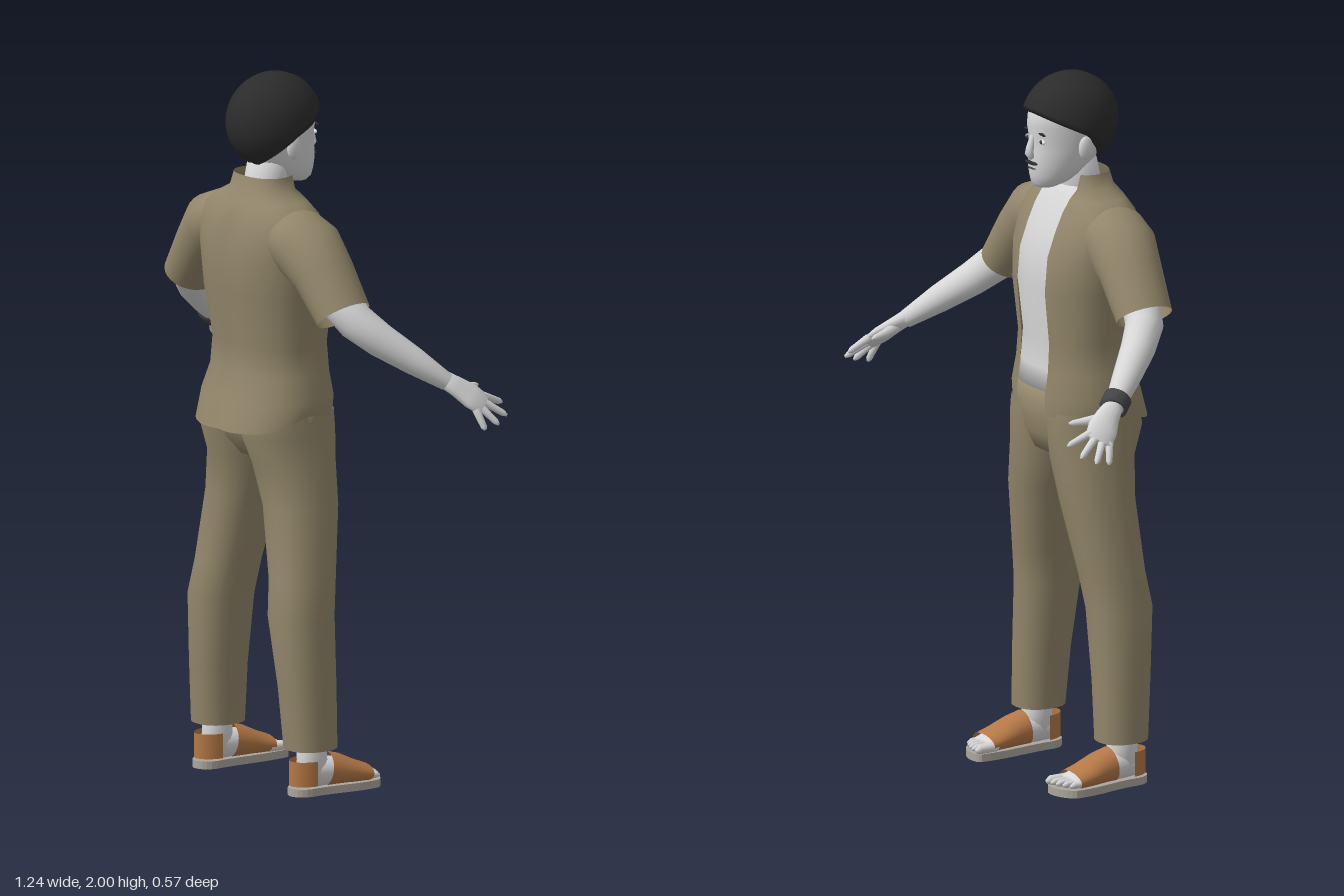
import * as THREE from 'three';

const mat = (name, color, side = THREE.FrontSide) => {
  const m = new THREE.MeshStandardMaterial({ color, side });
  m.name = name;
  return m;
};
const V = (x, y, z) => new THREE.Vector3(x, y, z);

// Skin a list of rings (each an array of Vector3, counterclockwise about the path)
function skin(rings, closed = true) {
  const n = rings[0].length, index = [];
  for (let i = 0; i < rings.length - 1; i++) {
    for (let j = 0; j < (closed ? n : n - 1); j++) {
      const k = (j + 1) % n, a = i * n + j, b = i * n + k;
      index.push(a, b, b + n, a, b + n, a + n);
    }
  }
  const g = new THREE.BufferGeometry().setFromPoints(rings.flat());
  g.setIndex(index);
  g.computeVertexNormals();
  return g;
}

// One elliptical ring; angle 0 points along u
function ring(c, u, v, ru, rv, n, from = 0, to = Math.PI * 2, power = 2) {
  const closed = to - from > 6.28, e = 2 / power;
  const f = (t) => Math.sign(t) * Math.pow(Math.abs(t), e);
  return Array.from({ length: n }, (_, j) => {
    const a = from + ((to - from) * j) / (closed ? n : n - 1);
    return c.clone().addScaledVector(u, ru * f(Math.cos(a))).addScaledVector(v, rv * f(Math.sin(a)));
  });
}

// Upright body from rows [y, xMin, xMax, zBack, zFront]; gap leaves the front (-z) open
function upright(rows, { n = 32, gap = 0, power = 2, caps = false, inset = 0 } = {}) {
  const rings = rows.map(([y, x0, x1, zb, zf]) => {
    const rx = (x1 - x0) / 2 - inset, rz = (zb - zf) / 2 - inset;
    const end = gap ? Math.PI - Math.asin(Math.pow(gap / rx, power / 2)) : Math.PI;
    return ring(V((x0 + x1) / 2, y, (zb + zf) / 2), V(0, 0, 1), V(1, 0, 0), rz, rx, n, -end, end, power);
  });
  return skin(caps ? cap(rings) : rings, !gap);
}

function cap(rings) {
  const close = (r) => {
    const m = r.reduce((s, p) => s.add(p), V(0, 0, 0)).divideScalar(r.length);
    return r.map((p) => p.clone().lerp(m, 0.999));
  };
  return [close(rings[0]), ...rings, close(rings[rings.length - 1])];
}

// Limb from stations [x, y, z, radiusU, radiusV]; s mirrors it in x
function limb(st, { s = 1, hint = V(0, 1, 0), n = 16, caps = true } = {}) {
  const p = st.map(([x, y, z]) => V(x * s, y, z));
  const h = hint.clone().setX(hint.x * s);
  const rings = st.map(([, , , ru, rv = ru], i) => {
    const d = p[Math.min(i + 1, p.length - 1)].clone().sub(p[Math.max(i - 1, 0)]).normalize();
    const u = h.clone().cross(d).normalize();
    return ring(p[i], u, d.clone().cross(u), ru, rv, n);
  });
  return skin(caps ? cap(rings) : rings);
}

export function createModel() {
  const model = new THREE.Group();
  const cloth = mat('khaki cloth', 0x92866a, THREE.DoubleSide);
  const body = mat('pale skin', 0xd6d6d6);
  const hairMat = mat('black hair', 0x2b2b2b, THREE.DoubleSide);
  const leather = mat('tan leather', 0xb57845, THREE.DoubleSide);
  const band = mat('dark band', 0x444446, THREE.DoubleSide);
  const soleMat = mat('grey sole', 0xaaa69c);
  const white = mat('eye white', 0xf0f0f0);
  const add = (name, geo, m, parent = model) => {
    const mesh = new THREE.Mesh(geo, m);
    mesh.name = name;
    parent.add(mesh);
    return mesh;
  };
  const ball = (name, m, x, y, z, rx, ry, rz) => {
    const b = add(name, new THREE.SphereGeometry(1, 16, 12), m);
    b.position.set(x, y, z);
    b.scale.set(rx, ry, rz);
    return b;
  };

  // Torso and open shirt
  const shirtRows = [
    [1.03, .2, .28, -.055], [1.1, .203, .255, -.055], [1.17, .185, .23, -.045], [1.25, .175, .227, -.042],
    [1.4, .198, .25, -.055], [1.5, .212, .252, -.045], [1.57, .22, .245, -.018], [1.62, .2, .228, .005],
    [1.655, .15, .21, .025], [1.68, .1, .195, .04], [1.72, .092, .182, .05],
  ].map(([y, rx, zb, zf]) => [y, -rx, rx, zb, zf]);
  const shirt = upright(shirtRows, { n: 49, gap: .07, power: 2.3 });
  const sp = shirt.attributes.position;
  for (let i = 0; i < 49; i++) {
    // hem: low at the back, raised at the side slits
    const a = Math.atan2(sp.getX(i) / .2, (sp.getZ(i) - .11) / .17);
    sp.setY(i, 1.033 - .018 * Math.cos(a) + .03 * Math.abs(Math.sin(a)) ** 10);
  }
  // shallow furrow down the spine
  for (let i = 0; i < sp.count; i++) {
    if (sp.getZ(i) > .15 && sp.getY(i) < 1.6) sp.setZ(i, sp.getZ(i) - .012 * Math.exp(-((sp.getX(i) / .03) ** 2)));
  }
  shirt.computeVertexNormals();
  add('shirt', shirt, cloth);
  add('torso', upright(shirtRows.slice(1, 10), { inset: .013, power: 2.3, caps: true }), body);

  // Trousers
  add('trouserSeat', upright([[.93, -.13, .13, .175, -.015], [.98, -.175, .175, .215, -.035],
    [1.03, -.187, .187, .235, -.042], [1.11, -.18, .18, .225, -.044]], { caps: true, power: 2.3 }), cloth);
  const legRows = [
    [.13, .142, .278, .185, .038], [.3, .13, .273, .198, .035], [.5, .1, .264, .215, .03], [.6, .085, .25, .2, .015],
    [.8, .038, .222, .19, -.02], [.92, .002, .2, .205, -.032], [1, -.004, .19, .238, -.04], [1.06, -.004, .184, .23, -.038],
  ];

  // Neck and head
  add('neck', limb([[0, 1.6, .125, .068], [0, 1.69, .11, .058], [0, 1.77, .09, .06]], { hint: V(0, 0, 1), n: 24 }), body);
  add('head', upright([
    [1.686, .028, .03, -.03], [1.698, .045, .07, -.042], [1.72, .06, .11, -.046], [1.75, .071, .15, -.05],
    [1.79, .08, .175, -.046], [1.825, .084, .188, -.044], [1.86, .088, .195, -.05], [1.9, .086, .19, -.046], [1.94, .07, .17, -.02],
  ].map(([y, rx, zb, zf]) => [y, -rx, rx, zb, zf]), { n: 36, caps: true }), body);
  add('nose', limb([[0, 1.835, -.043, .007], [0, 1.8, -.052, .011], [0, 1.785, -.055, .015, .011], [0, 1.772, -.046, .01]],
    { hint: V(0, 0, 1) }), body);
  ball('moustache', hairMat, 0, 1.757, -.048, .03, .005, .009);
  ball('mouth', band, 0, 1.742, -.047, .02, .003, .006);

  // Hair: a dome whose rim is high over the brow and low at the nape
  const hairRings = [];
  for (let i = -1; i <= 14; i++) {
    hairRings.push(Array.from({ length: 48 }, (_, j) => {
      const a = (j / 48) * Math.PI * 2, c = Math.cos(a);
      const phi = (1.78 + (c > 0 ? .85 : .52) * c) * (1 - Math.max(i, 0) / 14) + .001;
      const r = Math.sin(phi) * (i < 0 ? .72 : 1);
      const part = 1 - .03 * Math.exp(-((Math.sin(a) * r / .06) ** 2));
      return V(.116 * r * Math.sin(a), 1.864 + .136 * Math.cos(phi) * part, .079 + .142 * r * c);
    }));
  }
  add('hair', skin(hairRings), hairMat);

  for (const s of [1, -1]) {
    const side = s > 0 ? 'left' : 'right';
    add(side + 'TrouserLeg', upright(legRows.map(([y, a, b, zb, zf]) =>
      [y, Math.min(a * s, b * s), Math.max(a * s, b * s), zb, zf]), { n: 28, power: 2.3 }), cloth);

    // Face details
    ball(side + 'Ear', body, s * .087, 1.8, .075, .012, .034, .022);
    ball(side + 'Eye', white, s * .034, 1.822, -.034, .015, .007, .005);
    ball(side + 'Pupil', band, s * .034, 1.822, -.037, .006, .006, .004);
    ball(side + 'Brow', hairMat, s * .035, 1.845, -.037, .02, .004, .005).rotation.z = -s * .12;

    // Sleeve and arm
    add(side + 'Sleeve', limb([[.1, 1.575, .12, .07, .08], [.155, 1.563, .12, .085, .098], [.205, 1.538, .115, .095, .1],
      [.265, 1.48, .108, .08, .09], [.345, 1.375, .1, .07, .082]], { s, hint: V(0, 0, 1), n: 28, caps: false }), cloth);
    add(side + 'Arm', limb([[.26, 1.49, .11, .058], [.33, 1.41, .1, .056], [.376, 1.36, .08, .053], [.42, 1.31, .03, .048],
      [.475, 1.25, -.045, .039], [.528, 1.19, -.12, .027, .025]], { s, n: 20 }), body);

    // Hand with fanned fingers
    const hint = V(-.75, -.66, .05);
    add(side + 'Palm', limb([[.522, 1.2, -.11, .025, .023], [.54, 1.175, -.145, .034, .02], [.562, 1.148, -.177, .043, .018],
      [.583, 1.122, -.205, .04, .012]], { s, hint }), body);
    const tips = [[.556, 1.115, -.288], [.6, 1.088, -.272], [.616, 1.07, -.232], [.613, 1.06, -.188]];
    tips.forEach((t, i) => {
      const o = -.03 + i * .02;
      const k = [.576 + .45 * o, 1.13 - .45 * o, -.196 + .77 * o];
      const mid = k.map((v, q) => v * .15 + t[q] * .85);
      add(side + 'Finger' + (i + 1), limb([[...k, .0115], [...mid, .009], [...t, .004]], { s, hint, n: 10 }), body);
    });
    add(side + 'Thumb', limb([[.535, 1.172, -.145, .016], [.515, 1.163, -.195, .013], [.503, 1.16, -.235, .009],
      [.499, 1.16, -.247, .004]], { s, n: 10 }), body);

    // Ankle, foot and toes
    add(side + 'Ankle', limb([[.215, .2, .115, .042], [.215, .1, .11, .038, .045], [.217, .045, .11, .04, .055]],
      { s, hint: V(0, 0, 1) }), body);
    add(side + 'Foot', limb([[.215, .05, .172, .02], [.215, .055, .15, .036, .034], [.217, .062, .1, .04, .045], [.219, .058, .03, .045, .038],
      [.221, .043, -.03, .051, .025], [.221, .036, -.065, .049, .015]], { s, n: 20 }), body);
    for (let i = 0; i < 5; i++) {
      const x = .179 + i * .0205, r = i ? .0095 : .013, tip = -.113 + i * i * .0016;
      add(side + 'Toe' + (i + 1), limb([[x, .036, -.045, r], [x, .036, tip + .012, r], [x, .033, tip, r * .5]], { s, n: 10 }), body);
    }

    // Sandal: sole, instep strap and heel strap
    const shape = new THREE.Shape();
    shape.moveTo(s * .17, -.1);
    shape.bezierCurveTo(s * .18, -.125, s * .255, -.115, s * .275, -.075);
    shape.bezierCurveTo(s * .285, 0, s * .255, .06, s * .258, .14);
    shape.bezierCurveTo(s * .255, .2, s * .178, .2, s * .175, .14);
    shape.bezierCurveTo(s * .18, .06, s * .16, 0, s * .17, -.1);
    const sole = new THREE.ExtrudeGeometry(shape, { depth: .022, bevelEnabled: false, curveSegments: 10 });
    sole.rotateX(Math.PI / 2).translate(0, .024, 0);
    add(side + 'Sole', sole, soleMat);
    add(side + 'InstepStrap', limb([[.218, .066, .07, .046, .05], [.219, .06, .03, .051, .044], [.221, .048, -.02, .055, .033],
      [.221, .041, -.06, .056, .025]], { s, n: 24, caps: false }), leather);
    const heel = [.03, .065, .1].map((y) =>
      ring(V(s * .216, y, .12), V(0, 0, 1), V(1, 0, 0), .062, .045, 17, -1.5, 1.5));
    add(side + 'HeelStrap', skin(heel, false), leather);
  }

  // Bracelet on the right wrist
  add('bracelet', limb([[.508, 1.213, -.092, .032], [.509, 1.212, -.093, .04], [.526, 1.192, -.12, .04], [.527, 1.191, -.121, .03]],
    { s: -1, n: 20, caps: false }), band);
  return model;
}
